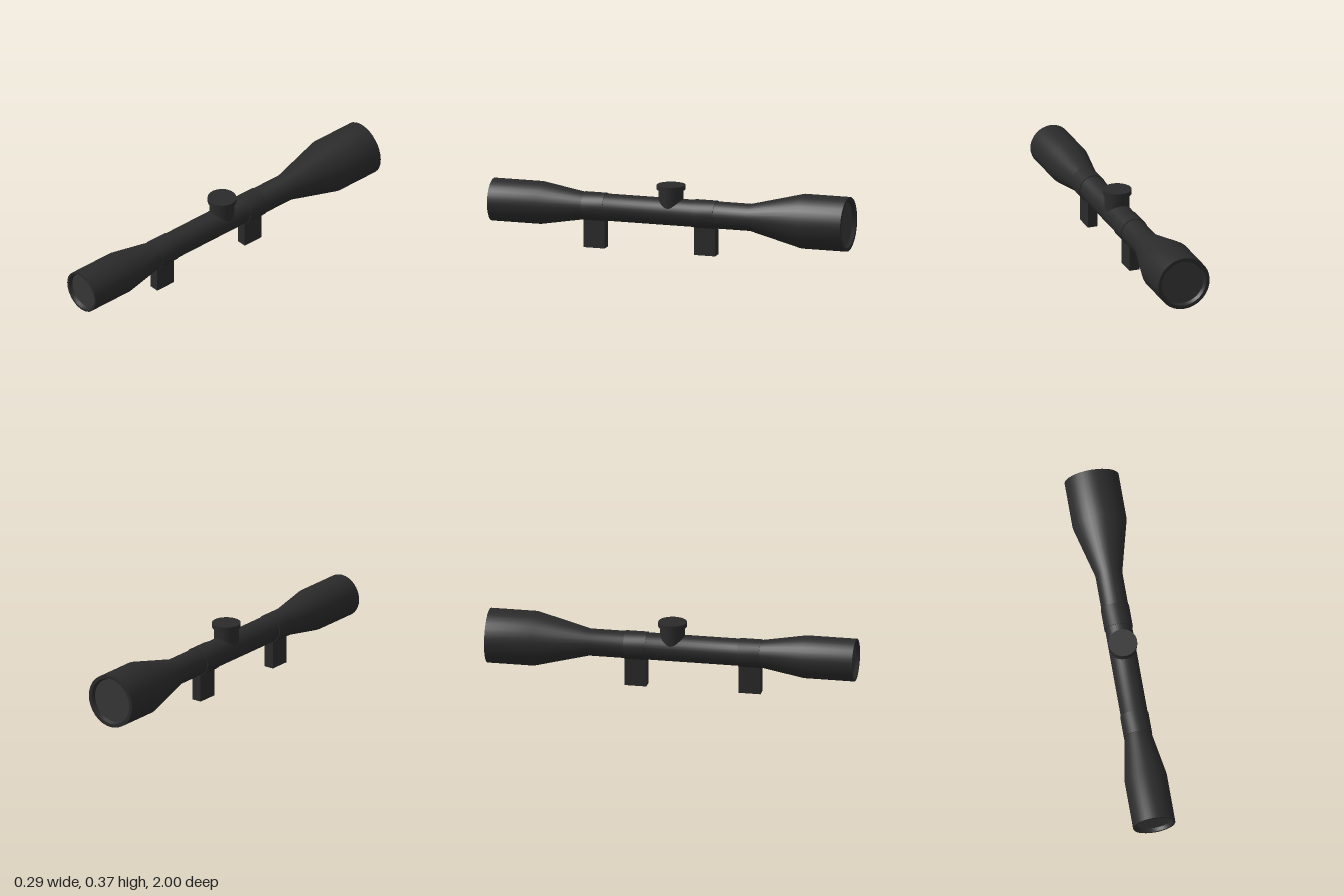
import * as THREE from 'three';
import { toCreasedNormals } from 'three/addons/utils/BufferGeometryUtils.js';

const AXIS_Y = 0.222; // height of the optical axis
const SIDES = 32;

export function createModel() {
  const group = new THREE.Group();
  const bodyMat = new THREE.MeshStandardMaterial({ color: 0x2a2a2a });
  const lensMat = new THREE.MeshStandardMaterial({ color: 0x363636 });

  function add(name, geometry, material, x, y, z) {
    const mesh = new THREE.Mesh(geometry, material);
    mesh.name = name;
    mesh.position.set(x, y, z);
    group.add(mesh);
    return mesh;
  }

  // Revolve [radius, z] pairs around the optical axis, keeping edges sharp
  function turned(profile) {
    const points = profile.map(([r, z]) => new THREE.Vector2(r, z));
    const geometry = new THREE.LatheGeometry(points, SIDES).rotateX(Math.PI / 2);
    return toCreasedNormals(geometry, 0.45);
  }

  // Main tube with both flared bells and their recessed rims
  add('scopeTube', turned([
    [0.119, -0.98], [0.128, -1], [0.147, -1], [0.147, -0.745],
    [0.073, -0.45], [0.073, 0.48],
    [0.115, 0.725], [0.115, 1], [0.103, 1], [0.095, 0.98],
  ]), bodyMat, 0, AXIS_Y, 0);

  // Lenses set just inside the rims
  add('eyepieceLens', new THREE.CircleGeometry(0.096, SIDES), lensMat, 0, AXIS_Y, 0.981);
  add('objectiveLens', new THREE.CircleGeometry(0.12, SIDES), lensMat, 0, AXIS_Y, -0.981)
    .rotation.y = Math.PI;

  // Mounting rings, each with a block foot
  for (const [side, z] of [['front', 0.425], ['rear', -0.197]]) {
    add(side + 'MountRing', turned([
      [0.07, -0.06], [0.077, -0.06], [0.077, 0.06], [0.07, 0.06],
    ]), bodyMat, 0, AXIS_Y, z);
    add(side + 'MountFoot', new THREE.BoxGeometry(0.056, 0.16, 0.12), bodyMat, 0, 0.08, z);
  }

  // Adjustment turret and its cap
  add('turretBase', new THREE.CylinderGeometry(0.067, 0.067, 0.12, SIDES), bodyMat, 0, 0.287, 0);
  add('turretCap', new THREE.CylinderGeometry(0.077, 0.077, 0.025, SIDES), bodyMat, 0, 0.3575, 0);

  return group;
}
